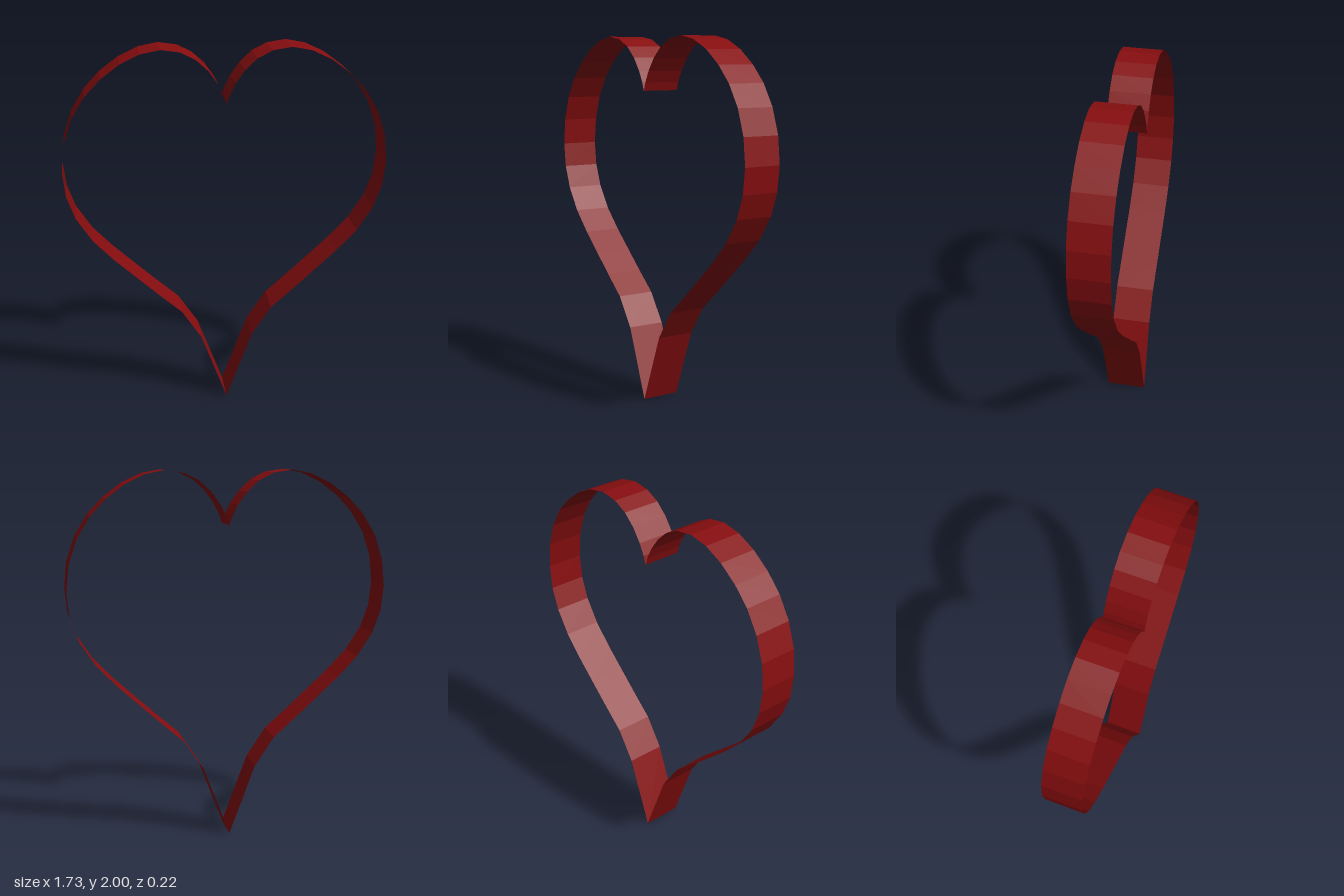
import * as THREE from 'three';

// Right half of the heart outline, from the bottom tip up to the cleft
const HALF = [
  [0, 0], [0.143, 0.38], [0.25, 0.54], [0.375, 0.65], [0.49, 0.755], [0.61, 0.865],
  [0.72, 0.98], [0.805, 1.11], [0.85, 1.235], [0.865, 1.37], [0.85, 1.515],
  [0.805, 1.65], [0.735, 1.765], [0.65, 1.855], [0.55, 1.93], [0.445, 1.98],
  [0.34, 2], [0.24, 1.985], [0.16, 1.945], [0.095, 1.885], [0.045, 1.815], [0.015, 1.755], [0, 1.71],
];
const DEPTH = 0.216;

export function createModel() {
  const group = new THREE.Group();
  group.name = 'heartRibbon';

  // Closed loop: up the right half, then down the mirrored left half
  const left = HALF.slice(0, -1).reverse().map(([x, y]) => [-x, y]);
  const outline = [...HALF, ...left];

  // Bend a flat strip along the outline; its two rows are the front and back edges
  const geometry = new THREE.PlaneGeometry(1, DEPTH, outline.length - 1, 1);
  const pos = geometry.attributes.position;
  for (let i = 0; i < pos.count; i++) {
    const [x, y] = outline[i % outline.length];
    pos.setXYZ(i, x, y, i < outline.length ? DEPTH / 2 : -DEPTH / 2);
  }
  geometry.computeVertexNormals();

  const band = new THREE.Mesh(geometry, new THREE.MeshStandardMaterial({
    color: 0x860d0f, flatShading: true, side: THREE.DoubleSide,
  }));
  band.name = 'heartBand';
  group.add(band);
  return group;
}
